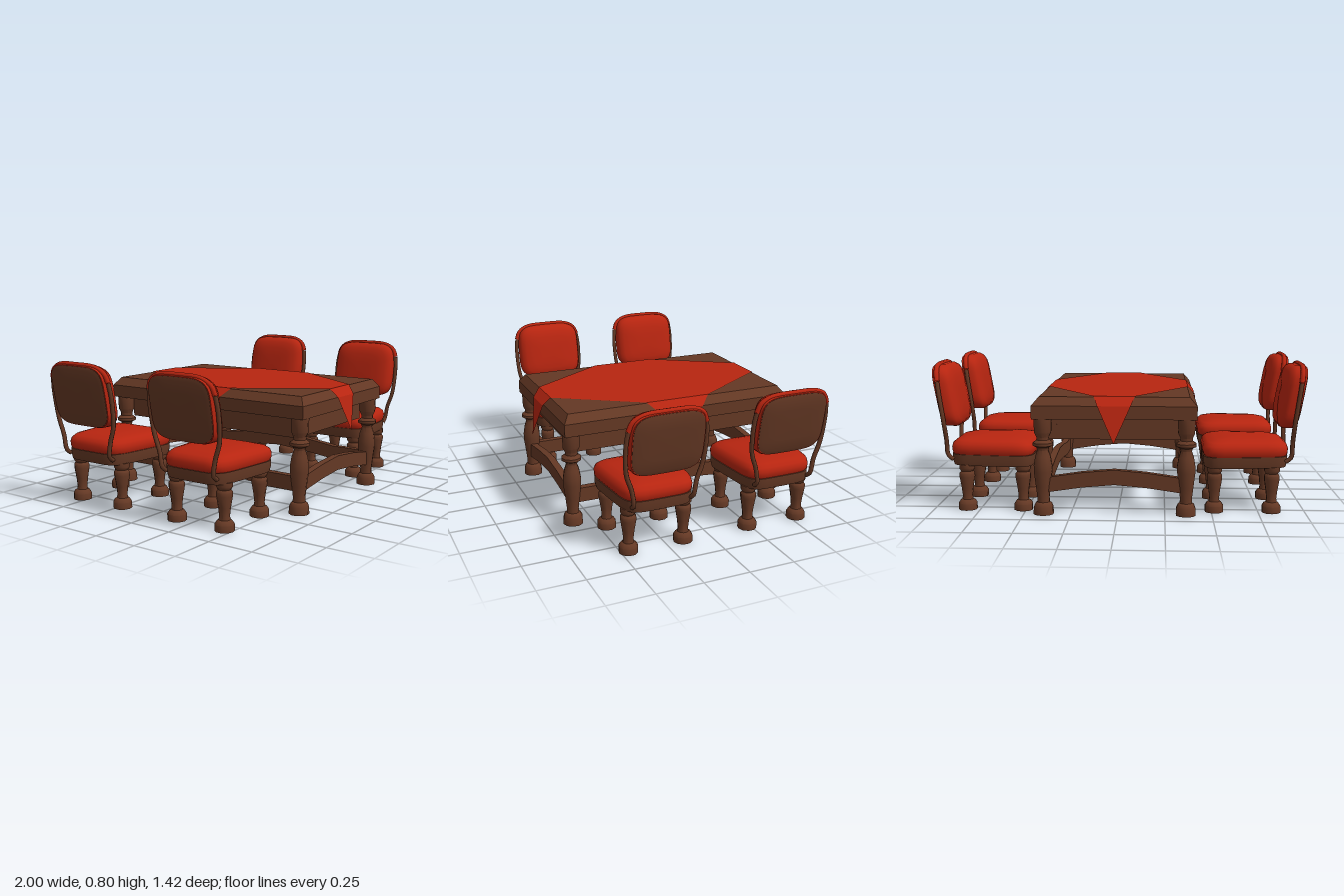
import * as THREE from 'three';
import { toCreasedNormals } from 'three/addons/utils/BufferGeometryUtils.js';

const wood = new THREE.MeshStandardMaterial({ color: 0x643824 });
wood.name = 'brown wood';
const fabric = new THREE.MeshStandardMaterial({ color: 0xb82510 });
fabric.name = 'red fabric';
const cloth = new THREE.MeshStandardMaterial({ color: 0xb82510, side: THREE.DoubleSide });
cloth.name = 'red tablecloth';

function add(parent, name, geometry, material, x = 0, y = 0, z = 0) {
  const mesh = new THREE.Mesh(geometry, material);
  mesh.name = name;
  mesh.position.set(x, y, z);
  parent.add(mesh);
  return mesh;
}

// Skin over equal-sized rings of [x, y, z], closed with a fan at each end
function loft(rings, crease) {
  const n = rings[0].length, pos = rings.flat(2), idx = [];
  for (let i = 0; i < rings.length - 1; i++) {
    for (let k = 0; k < n; k++) {
      const a = i * n + k, b = i * n + (k + 1) % n;
      idx.push(a, b, b + n, a, b + n, a + n);
    }
  }
  [0, rings.length - 1].forEach((r, end) => {
    const c = pos.length / 3;
    for (let j = 0; j < 3; j++) pos.push(rings[r].reduce((s, p) => s + p[j], 0) / n);
    for (let k = 0; k < n; k++) {
      const a = r * n + k, b = r * n + (k + 1) % n;
      idx.push(c, end ? a : b, end ? b : a);
    }
  });
  const g = new THREE.BufferGeometry();
  g.setAttribute('position', new THREE.Float32BufferAttribute(pos, 3));
  g.setIndex(idx);
  g.computeVertexNormals();
  return toCreasedNormals(g, crease);
}

// Rounded-square outline with unit half-size
function outline(e, n = 40) {
  return Array.from({ length: n }, (_, i) => {
    const t = (i / n) * Math.PI * 2, c = Math.cos(t), s = Math.sin(t);
    return [Math.sign(c) * Math.abs(c) ** e, Math.sign(s) * Math.abs(s) ** e];
  });
}

// Seat-shaped layers [y, scale], narrower towards the back
function seatLoft(layers, crease) {
  const pts = outline(0.36);
  return loft(layers.map(([y, s]) => pts.map(([u, v]) =>
    [0.68 + u * s * 0.23, y, -v * s * (0.21 - 0.022 * u)])), crease);
}

// Backrest layers [depth, scale], leaning outwards
function backLoft(layers, crease) {
  const pts = outline(0.45);
  return loft(layers.map(([d, s]) => pts.map(([u, v]) => {
    const y = v * s * 0.168;
    return [d + y * 0.18, 0.615 + y, -u * s * 0.197];
  })), crease);
}

function turned(profile) {
  const pts = profile.map(([r, y]) => new THREE.Vector2(r, y));
  return toCreasedNormals(new THREE.LatheGeometry(pts, 10), 0.72);
}

function tube(points, radius) {
  const curve = new THREE.CatmullRomCurve3(points.map(p => new THREE.Vector3(...p)));
  return new THREE.TubeGeometry(curve, 28, radius, 8);
}

function makeChair() {
  const chair = new THREE.Group();
  // Seat
  add(chair, 'seatFrame', seatLoft([[0.245, 0.96], [0.27, 0.985], [0.305, 0.99]], 0.6), wood);
  add(chair, 'seatCushion', seatLoft([[0.3, 0.95], [0.315, 0.99], [0.34, 1], [0.362, 0.97],
    [0.378, 0.88], [0.39, 0.68], [0.397, 0.35]], 1), fabric);
  // Turned legs
  const leg = turned([[0, 0], [0.051, 0], [0.051, 0.035], [0.04, 0.052], [0.03, 0.057], [0.027, 0.075],
    [0.032, 0.12], [0.042, 0.18], [0.042, 0.2], [0.033, 0.212], [0.042, 0.225], [0.042, 0.25], [0, 0.25]]);
  for (const x of [0.515, 0.82]) {
    for (const z of [-0.153, 0.153]) add(chair, 'chairLeg', leg, wood, x, 0, z);
  }
  // Padded back with a wooden rear panel
  add(chair, 'backCushion', backLoft([[0.863, 0.3], [0.866, 0.6], [0.875, 0.83], [0.889, 0.95],
    [0.907, 1], [0.953, 1], [0.966, 0.975]], 1), fabric);
  add(chair, 'backPanel', backLoft([[0.955, 0.955], [0.968, 0.955], [0.974, 0.85], [0.977, 0.5]], 1), wood);
  // Bent posts and padded arch
  for (const s of [-1, 1]) {
    add(chair, 'backPost', tube([[0.89, 0.275, s * 0.16], [0.918, 0.3, s * 0.162], [0.922, 0.38, s * 0.175],
      [0.926, 0.47, s * 0.204], [0.945, 0.62, s * 0.213], [0.957, 0.7, s * 0.205]], 0.012), wood);
  }
  add(chair, 'backArch', tube([[0.957, 0.7, -0.205], [0.964, 0.745, -0.185], [0.971, 0.775, -0.13],
    [0.974, 0.782, 0], [0.971, 0.775, 0.13], [0.964, 0.745, 0.185], [0.957, 0.7, 0.205]], 0.014), fabric);
  return chair;
}

function makeTable() {
  const table = new THREE.Group();
  table.name = 'table';
  // Bevelled top
  const rect = (hx, hz, y) => [[hx, y, hz], [hx, y, -hz], [-hx, y, -hz], [-hx, y, hz]];
  add(table, 'tableTop', loft([rect(0.432, 0.662, 0.515), rect(0.432, 0.662, 0.585),
    rect(0.394, 0.63, 0.63)], 0.2), wood);
  // Apron
  for (const s of [-1, 1]) {
    add(table, 'sideApron', new THREE.BoxGeometry(0.045, 0.12, 1.15), wood, s * 0.33, 0.457, 0);
    add(table, 'endApron', new THREE.BoxGeometry(0.66, 0.12, 0.045), wood, 0, 0.457, s * 0.552);
  }
  // Turned legs
  const leg = turned([[0, 0], [0.055, 0], [0.053, 0.04], [0.044, 0.06], [0.034, 0.066], [0.033, 0.09],
    [0.04, 0.15], [0.05, 0.23], [0.05, 0.265], [0.042, 0.31], [0.03, 0.345], [0.035, 0.36],
    [0.054, 0.37], [0.054, 0.385], [0.034, 0.4], [0.034, 0.415], [0.046, 0.44], [0.048, 0.52]]);
  for (const x of [-0.378, 0.378]) {
    for (const z of [-0.613, 0.613]) add(table, 'tableLeg', leg, wood, x, 0, z);
  }
  // Arched stretchers
  const stretcher = (half, flat, low) => {
    const top = [[-half, low], [-flat, low], [-flat / 2, low + 0.025], [0, low + 0.04],
      [flat / 2, low + 0.025], [flat, low], [half, low]].map(p => new THREE.Vector2(...p));
    const bottom = top.map(p => new THREE.Vector2(p.x, p.y - 0.08)).reverse();
    const g = new THREE.ExtrudeGeometry(new THREE.Shape([...bottom, ...top]),
      { depth: 0.04, bevelEnabled: false });
    return g.translate(0, 0, -0.02);
  };
  const endGeo = stretcher(0.375, 0.34, 0.203), sideGeo = stretcher(0.61, 0.4, 0.203);
  for (const s of [-1, 1]) {
    add(table, 'endStretcher', endGeo, wood, 0, 0, s * 0.613);
    add(table, 'sideStretcher', sideGeo, wood, s * 0.378, 0, 0).rotation.y = Math.PI / 2;
  }
  // Diamond cloth with hanging corners
  const sheet = new THREE.Shape([[0.108, 0.632], [-0.108, 0.632], [-0.397, 0.185], [-0.397, -0.185],
    [-0.108, -0.632], [0.108, -0.632], [0.397, -0.185], [0.397, 0.185]].map(p => new THREE.Vector2(...p)));
  add(table, 'clothTop', new THREE.ShapeGeometry(sheet).rotateX(-Math.PI / 2), cloth, 0, 0.634, 0);
  const flap = (w, edge, tip, tipY) => {
    const w2 = w * (0.587 - tipY) / (0.634 - tipY), d = edge + 0.04;
    const g = new THREE.BufferGeometry();
    g.setAttribute('position', new THREE.Float32BufferAttribute([-w, 0.634, edge, w, 0.634, edge,
      -w2, 0.587, d, w2, 0.587, d, 0, tipY, tip], 3));
    g.setIndex([0, 2, 1, 1, 2, 3, 2, 4, 3]);
    const flat = g.toNonIndexed();
    flat.computeVertexNormals();
    return flat;
  };
  const endFlap = flap(0.108, 0.632, 0.712, 0.395), sideFlap = flap(0.185, 0.397, 0.458, 0.46);
  for (let i = 0; i < 4; i++) {
    add(table, 'clothFlap', i % 2 ? sideFlap : endFlap, cloth).rotation.y = i * Math.PI / 2;
  }
  table.position.set(0.017, 0, -0.005);
  return table;
}

export function createModel() {
  const model = new THREE.Group();
  model.name = 'diningSet';
  model.add(makeTable());
  // Two chairs on each long side
  for (const z of [0.307, -0.382]) {
    for (const side of ['left', 'right']) {
      const chair = makeChair();
      chair.name = side + 'Chair';
      chair.position.z = z;
      if (side === 'right') chair.rotation.y = Math.PI;
      model.add(chair);
    }
  }
  return model;
}
